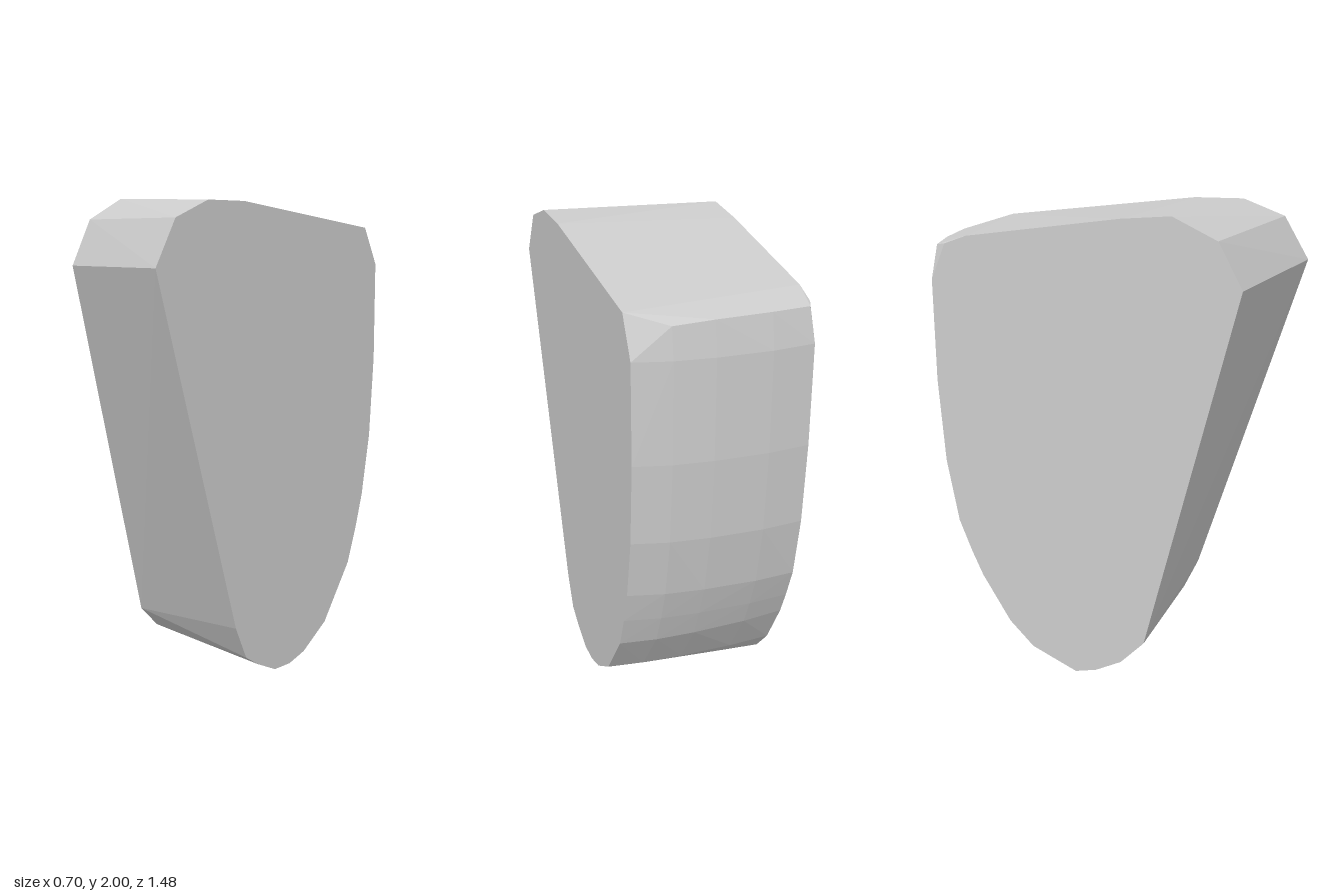
import * as THREE from 'three';
import { ConvexGeometry } from 'three/addons/geometries/ConvexGeometry.js';

const LEFT_X = 0.348, RIGHT_X = -0.35;

// Front, top and underside corners of the two flat sides, as [z, y]
const leftCorners = [
  [0.285, 0.25], [0.737, 1.72], [0.63, 1.905], [0.45, 1.975], [0.24, 1.975], [-0.58, 1.88],
  [-0.07, 0.01], [0.03, 0.01], [0.14, 0.06], [0.22, 0.11],
];
const rightCorners = [
  [0.14, 0.165], [0.52, 1.72], [0.42, 1.91], [0.24, 2], [0.04, 1.985], [-0.58, 1.9], [-0.67, 1.867],
  [-0.26, 0.055], [-0.16, 0], [-0.07, 0.015], [0.04, 0.065],
];

// Rounded back, row by row: left [z, y], right [z, y], bulge amount
const backRows = [
  [[-0.665, 1.72], [-0.729, 1.72], 1],
  [[-0.665, 1.3], [-0.727, 1.3], 0.97],
  [[-0.64, 0.95], [-0.705, 0.95], 0.95],
  [[-0.59, 0.68], [-0.66, 0.68], 0.9],
  [[-0.545, 0.53], [-0.61, 0.54], 0.85],
  [[-0.49, 0.38], [-0.565, 0.43], 0.8],
  [[-0.32, 0.14], [-0.45, 0.22], 0.6],
  [[-0.17, 0.04], [-0.35, 0.105], 0.3],
];
// Ribs across the back, as [x, outward bulge]
const ribs = [[RIGHT_X, 0], [-0.18, 0.026], [0.04, 0.035], [0.2, 0.028], [LEFT_X, 0]];

// Upper edge of the back, as [x, y, z]
const backTopEdge = [
  [-0.335, 1.86, -0.705], [-0.18, 1.862, -0.716], [0.04, 1.86, -0.711], [0.2, 1.848, -0.69],
];

function createBlockGeometry() {
  const { lerp } = THREE.MathUtils;
  const points = backTopEdge.map((p) => new THREE.Vector3(...p));
  for (const [z, y] of leftCorners) points.push(new THREE.Vector3(LEFT_X, y, z));
  for (const [z, y] of rightCorners) points.push(new THREE.Vector3(RIGHT_X, y, z));

  // Blend each back row from side to side and push it outwards
  for (const [left, right, amount] of backRows) {
    for (const [x, bulge] of ribs) {
      const t = (x - RIGHT_X) / (LEFT_X - RIGHT_X);
      points.push(new THREE.Vector3(x, lerp(right[1], left[1], t),
        lerp(right[0], left[0], t) - bulge * amount));
    }
  }
  return new ConvexGeometry(points);
}

export function createModel() {
  const group = new THREE.Group();
  group.name = 'wedgeBlock';
  const lightGrey = new THREE.MeshStandardMaterial({ color: 0xcccccc });
  lightGrey.name = 'lightGrey';
  lightGrey.flatShading = true;
  const block = new THREE.Mesh(createBlockGeometry(), lightGrey);
  block.name = 'roundedBlock';
  group.add(block);
  return group;
}
